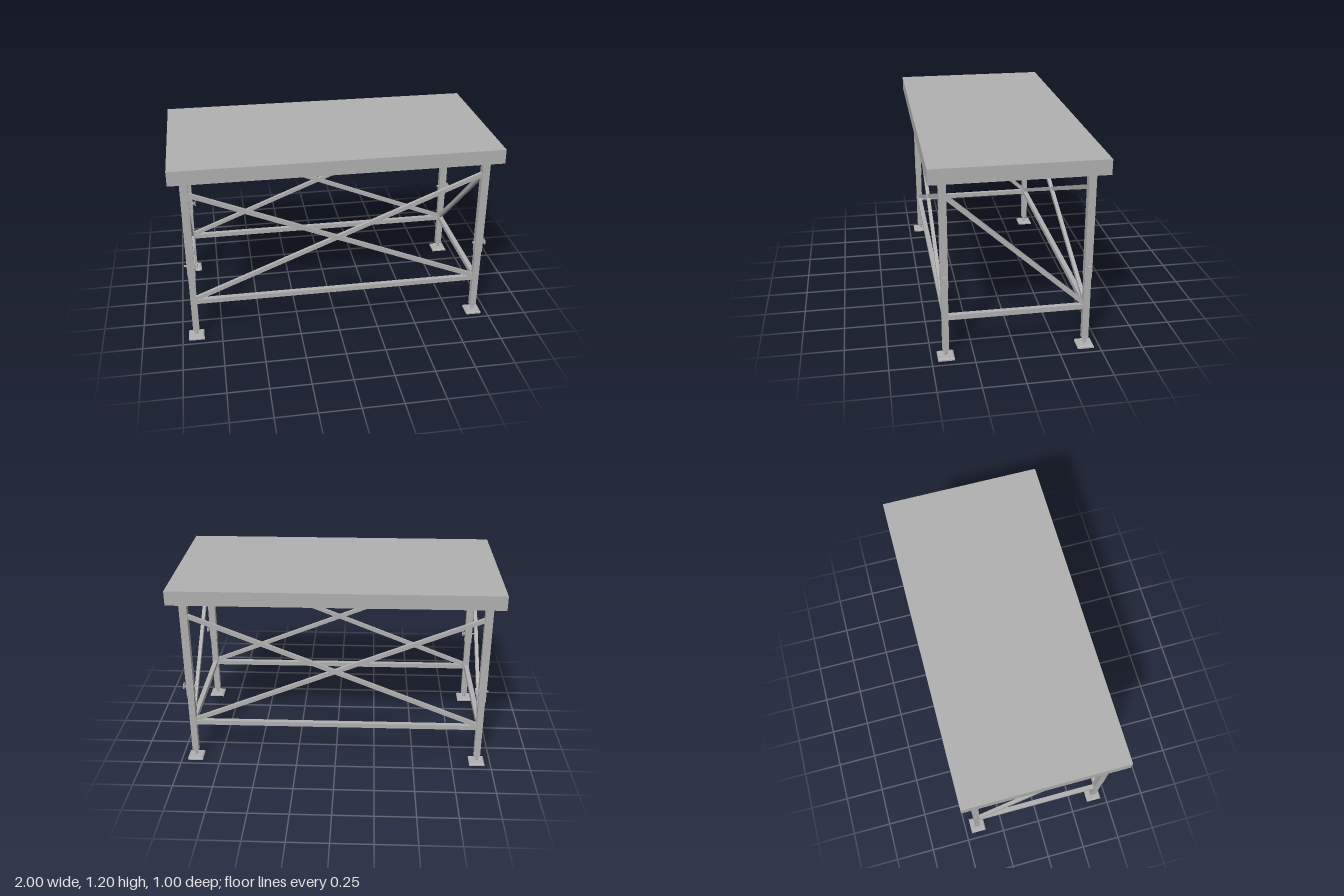
import * as THREE from 'three';

const LEG_X = 0.912, LEG_Z = 0.415;

export function createModel() {
  const model = new THREE.Group();
  model.name = 'adjustableTable';
  const grey = new THREE.MeshStandardMaterial({ color: 0xb0b0b0 });
  grey.name = 'grey steel';

  function add(parent, name, geometry, x = 0, y = 0, z = 0) {
    const mesh = new THREE.Mesh(geometry, grey);
    mesh.name = name;
    mesh.position.set(x, y, z);
    parent.add(mesh);
    return mesh;
  }
  const box = (parent, name, w, h, d, x, y, z) =>
    add(parent, name, new THREE.BoxGeometry(w, h, d), x, y, z);

  // Square bar whose length runs from a to b
  function bar(name, a, b, height, depth) {
    const dir = b.clone().sub(a);
    const mid = a.clone().add(b).multiplyScalar(0.5);
    const mesh = box(model, name, depth, height, dir.length(), mid.x, mid.y, mid.z);
    mesh.lookAt(b);
    return mesh;
  }
  const v = (x, y, z) => new THREE.Vector3(x, y, z);

  // Table top: deck, hollow rim and joists
  const top = new THREE.Group();
  top.name = 'tableTop';
  model.add(top);
  box(top, 'deck', 2, 0.035, 1, 0, 1.1825, 0);
  for (const s of [-1, 1]) {
    box(top, 'longRim', 2, 0.055, 0.04, 0, 1.1375, s * 0.48);
    box(top, 'shortRim', 0.04, 0.055, 0.92, s * 0.98, 1.1375, 0);
  }
  for (const x of [-0.5, 0, 0.5]) box(top, 'joist', 0.04, 0.04, 0.92, x, 1.145, 0);

  // Triangular gussets in the corners of the rim
  const triangle = new THREE.Shape([
    new THREE.Vector2(0, 0), new THREE.Vector2(-0.2, 0), new THREE.Vector2(0, -0.2),
  ]);
  const gusset = new THREE.ExtrudeGeometry(triangle, { depth: 0.01, bevelEnabled: false });
  gusset.rotateX(-Math.PI / 2);
  [[0.96, -0.46, 0], [-0.96, -0.46, 1], [-0.96, 0.46, 2], [0.96, 0.46, 3]].forEach(([x, z, q]) => {
    add(top, 'cornerGusset', gusset, x, 1.112, z).rotation.y = q * Math.PI / 2;
  });

  // Four telescopic legs with levelling feet
  for (const sx of [-1, 1]) for (const sz of [-1, 1]) {
    const leg = new THREE.Group();
    leg.name = 'leg';
    leg.position.set(sx * LEG_X, 0, sz * LEG_Z);
    model.add(leg);

    box(leg, 'outerTube', 0.047, 0.645, 0.043, 0, 0.7825, 0);
    box(leg, 'innerTube', 0.04, 0.42, 0.038, 0, 0.26, 0);
    box(leg, 'mountingPlate', 0.062, 0.014, 0.065, sx * 0.006, 1.106, 0.022);
    box(leg, 'mountingTab', 0.05, 0.007, 0.04, 0, 1.1065, -0.01);

    // Foot: thin pad with sloping top, threaded spindle and nuts
    const pad = new THREE.CylinderGeometry(0.06, 0.0695, 0.007, 4).toNonIndexed();
    pad.rotateY(Math.PI / 4);
    pad.computeVertexNormals();
    add(leg, 'footCap', pad, 0, 0.0125, 0);
    box(leg, 'footPad', 0.098, 0.009, 0.098, 0, 0.0045, 0);
    add(leg, 'spindle', new THREE.CylinderGeometry(0.007, 0.007, 0.045, 12), 0, 0.035, 0);
    for (const y of [0.026, 0.042]) {
      add(leg, 'nut', new THREE.CylinderGeometry(0.012, 0.012, 0.007, 6), 0, y, 0);
    }

    // Locking bolt, always with its square head towards +x
    const shank = new THREE.CylinderGeometry(0.006, 0.006, 0.078, 12);
    shank.rotateZ(Math.PI / 2);
    add(leg, 'boltShank', shank, 0.001, 0.525, 0);
    box(leg, 'boltHead', 0.008, 0.028, 0.028, 0.04, 0.525, 0);
    box(leg, 'boltCollar', 0.005, 0.02, 0.02, 0.026, 0.525, 0);
  }

  // Lower rails and crossed braces along the front and back
  for (const s of [-1, 1]) {
    const z = s * LEG_Z;
    box(model, 'longRail', 1.8, 0.03, 0.03, 0, 0.266, z);
    bar('crossBrace', v(-0.9, 1.01, z + 0.003), v(0.9, 0.28, z + 0.003), 0.026, 0.022);
    bar('crossBrace', v(0.9, 1.01, z - 0.003), v(-0.9, 0.28, z - 0.003), 0.026, 0.022);

    // End rail and single diagonal, high at the front
    const x = s * LEG_X;
    box(model, 'endRail', 0.03, 0.03, 0.8, x, 0.266, 0);
    bar('endBrace', v(x, 1.01, 0.402), v(x, 0.285, -0.402), 0.026, 0.022);
  }
  return model;
}
